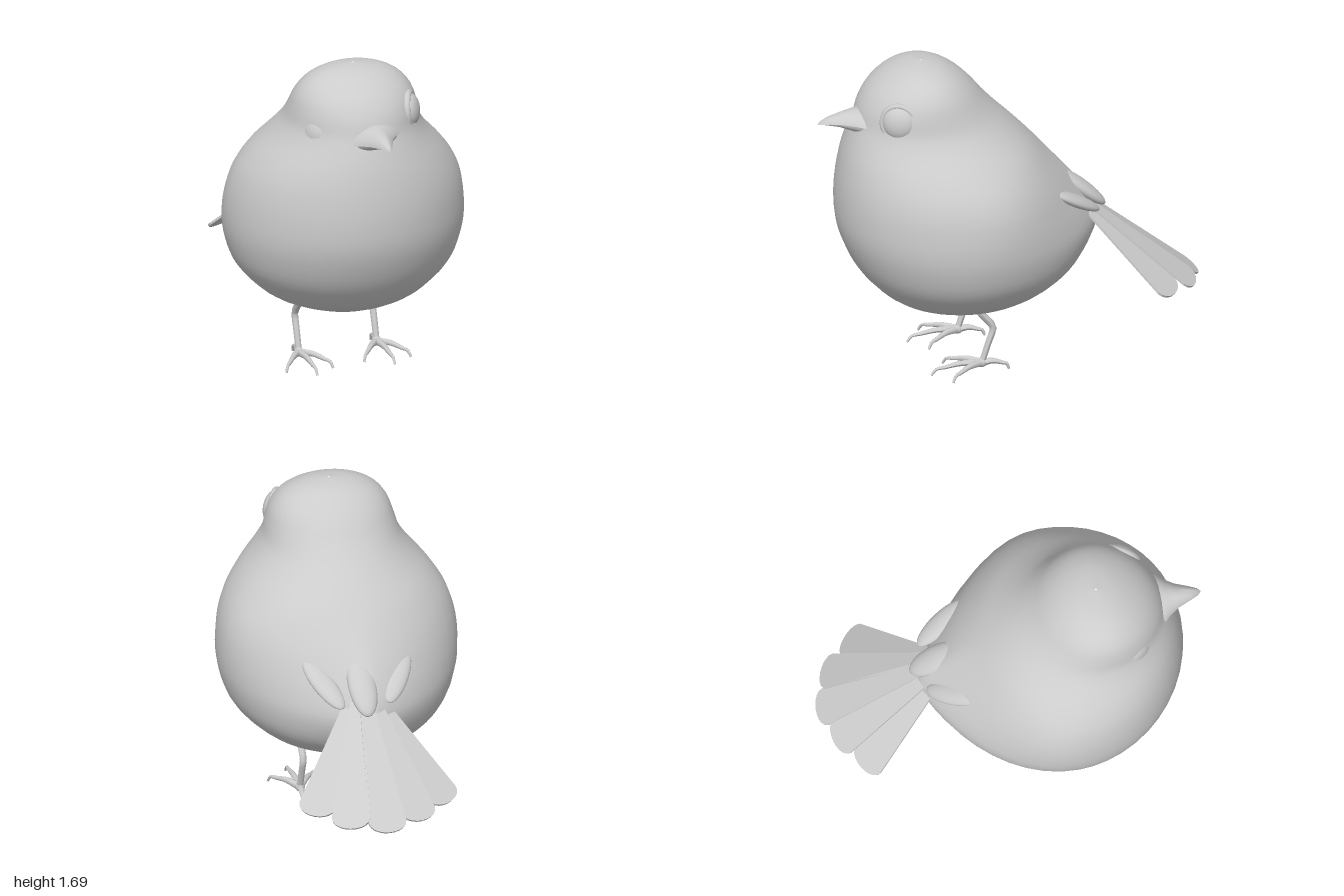
import * as THREE from 'three';
import { toCreasedNormals } from 'three/addons/utils/BufferGeometryUtils.js';

const V = (x, y, z) => new THREE.Vector3(x, y, z);
const mat = new THREE.MeshStandardMaterial({ color: 0xcccccc, roughness: 0.8 });

function add(parent, name, geometry) {
  const mesh = new THREE.Mesh(geometry, mat);
  mesh.name = name;
  parent.add(mesh);
  return mesh;
}

// Skin over closed rings of points
function loft(rings) {
  const n = rings[0].length, index = [];
  for (let r = 0; r < rings.length - 1; r++) {
    for (let i = 0; i < n; i++) {
      const a = r * n + i, b = r * n + (i + 1) % n;
      index.push(a, a + n, b, b, a + n, b + n);
    }
  }
  const g = new THREE.BufferGeometry().setFromPoints(rings.flat());
  g.setIndex(index);
  g.computeVertexNormals();
  return g;
}

// Tube whose radius goes from r0 to r1
function taperedTube(points, r0, r1, tension = 0.5) {
  const path = new THREE.CatmullRomCurve3(points, false, 'catmullrom', tension);
  const steps = 14, sides = 8;
  const g = new THREE.TubeGeometry(path, steps, r0, sides);
  const p = g.attributes.position, v = V(0, 0, 0);
  for (let i = 0; i < p.count; i++) {
    const t = Math.floor(i / (sides + 1)) / steps;
    const c = path.getPointAt(t);
    v.fromBufferAttribute(p, i).sub(c).multiplyScalar(1 + (r1 / r0 - 1) * t).add(c);
    p.setXYZ(i, v.x, v.y, v.z);
  }
  g.computeVertexNormals();
  return g;
}

// Body and head: [height, half width, front z, back z, widest z, back pointedness]
function bodyGeometry() {
  const keys = [
    [0.308, 0.004, 0.25, 0.24, 0.245, 0.5],
    [0.325, 0.17, 0.43, 0.06, 0.245, 0.5],
    [0.40, 0.375, 0.62, -0.16, 0.25, 0.5],
    [0.50, 0.50, 0.735, -0.32, 0.25, 0.55],
    [0.60, 0.575, 0.81, -0.42, 0.25, 0.65],
    [0.72, 0.615, 0.865, -0.49, 0.25, 0.8],
    [0.82, 0.628, 0.892, -0.47, 0.25, 0.85],
    [0.92, 0.625, 0.90, -0.40, 0.25, 0.8],
    [1.02, 0.608, 0.897, -0.315, 0.26, 0.7],
    [1.12, 0.57, 0.885, -0.225, 0.28, 0.6],
    [1.22, 0.50, 0.865, -0.135, 0.32, 0.5],
    [1.32, 0.41, 0.835, -0.04, 0.37, 0.5],
    [1.40, 0.356, 0.805, 0.04, 0.41, 0.5],
    [1.48, 0.333, 0.78, 0.115, 0.44, 0.5],
    [1.56, 0.305, 0.73, 0.18, 0.45, 0.5],
    [1.63, 0.245, 0.65, 0.255, 0.45, 0.5],
    [1.68, 0.14, 0.55, 0.345, 0.45, 0.5],
    [1.698, 0.004, 0.455, 0.445, 0.45, 0.5],
  ];
  const a = new THREE.CatmullRomCurve3(keys.map(k => V(k[0], k[1], k[2])), false, 'catmullrom');
  const b = new THREE.CatmullRomCurve3(keys.map(k => V(k[3], k[4], k[5])), false, 'catmullrom');
  const rings = [], steps = 51, sides = 48;
  for (let s = 0; s <= steps; s++) {
    const { x: y, y: w, z: front } = a.getPoint(s / steps);
    const { x: back, y: mid, z: q } = b.getPoint(s / steps);
    const shift = -0.015 * THREE.MathUtils.smoothstep(y, 1.0, 1.4);
    rings.push(Array.from({ length: sides }, (_, i) => {
      const t = i / sides * Math.PI * 2, c = Math.cos(t), sn = Math.sin(t);
      const wide = Math.sign(c) * Math.pow(Math.abs(c), sn < 0 ? 2 * q : 1);
      return V(shift + w * wide, y, mid + sn * (sn > 0 ? front - mid : mid - back));
    }));
  }
  return loft(rings);
}

// Half of the beak; up = 1 for the upper part, -1 for the lower. Stations: [z, half width, height, y]
function beakHalf(stations, up) {
  const rings = stations.map(([z, w, h, y]) => Array.from({ length: 24 }, (_, i) => {
    const t = -i / 24 * Math.PI * 2;
    const rise = Math.max(up * Math.sin(t), 0);
    return V(w * Math.cos(t), y + up * h * Math.pow(rise, up > 0 ? 1.6 : 1), z);
  }));
  return toCreasedNormals(loft(rings), 0.9);
}

function featherGeometry(length) {
  const s = new THREE.Shape();
  s.moveTo(-0.03, 0);
  s.lineTo(-0.1, length - 0.06);
  s.bezierCurveTo(-0.09, length + 0.02, 0.09, length + 0.02, 0.1, length - 0.06);
  s.lineTo(0.03, 0);
  return new THREE.ExtrudeGeometry(s, { depth: 0.012, bevelEnabled: false, curveSegments: 10 });
}

// Flattened ellipsoid lying between two points
function covert(parent, name, from, to, width, thick) {
  const m = add(parent, name, new THREE.SphereGeometry(1, 20, 14));
  const dir = to.clone().sub(from);
  m.scale.set(width, dir.length() / 2, thick);
  m.position.copy(from).lerp(to, 0.5);
  dir.normalize();
  const side = V(1, 0, 0).addScaledVector(dir, -dir.x).normalize();
  m.quaternion.setFromRotationMatrix(new THREE.Matrix4().makeBasis(side, dir, side.clone().cross(dir)));
}

export function createModel() {
  const bird = new THREE.Group();
  bird.name = 'bird';
  add(bird, 'body', bodyGeometry());

  // Eyes with a soft lid; the head is cocked so the left one sits higher
  for (const [name, pos, out] of [
    ['leftEye', V(0.232, 1.465, 0.63), V(0.86, 0.12, 0.5)],
    ['rightEye', V(-0.272, 1.387, 0.61), V(-0.86, 0.1, 0.5)],
  ]) {
    const eye = new THREE.Group();
    eye.name = name;
    eye.position.copy(pos);
    eye.lookAt(pos.clone().add(out));
    add(eye, 'eyeball', new THREE.SphereGeometry(0.088, 28, 20)).scale.z = 0.58;
    add(eye, 'eyelid', new THREE.TorusGeometry(0.09, 0.015, 10, 32)).scale.z = 1.3;
    bird.add(eye);
  }

  // Beak
  const beak = new THREE.Group();
  beak.name = 'beak';
  beak.position.set(-0.018, 1.39, 0);
  beak.rotation.z = 0.15;
  add(beak, 'upperBeak', beakHalf([
    [0.70, 0.16, 0.09, -0.012], [0.78, 0.138, 0.082, -0.01], [0.82, 0.1, 0.07, -0.005],
    [0.87, 0.066, 0.055, 0], [0.94, 0.038, 0.035, 0.003], [0.985, 0.018, 0.016, 0], [1.0, 0.001, 0.001, 0],
  ], 1));
  add(beak, 'lowerBeak', beakHalf([
    [0.70, 0.15, 0.055, -0.014], [0.78, 0.125, 0.052, -0.012], [0.83, 0.085, 0.038, -0.007],
    [0.89, 0.05, 0.02, -0.001], [0.95, 0.028, 0.01, 0.002], [0.985, 0.001, 0.001, 0],
  ], -1));
  bird.add(beak);

  // Tail: arched fan of five feathers
  const tail = new THREE.Group();
  tail.name = 'tail';
  const tips = [V(-0.28, 0.405, -0.83), V(-0.11, 0.385, -0.94), V(0.08, 0.372, -0.995),
    V(0.27, 0.39, -0.935), V(0.42, 0.41, -0.785)];
  tips.forEach((tip, i) => {
    const k = i - 2;
    const base = V(0.04 + k * 0.042, 0.855 - 0.012 * k * k, -0.4);
    const dir = tip.clone().sub(base);
    const feather = add(tail, 'tailFeather', featherGeometry(dir.length()));
    dir.normalize();
    const side = tips[Math.min(i + 1, 4)].clone().sub(tips[Math.max(i - 1, 0)]);
    side.addScaledVector(dir, -side.dot(dir)).normalize();
    feather.quaternion.setFromRotationMatrix(new THREE.Matrix4().makeBasis(side, dir, side.clone().cross(dir)));
    feather.position.copy(base);
  });
  bird.add(tail);

  // Rump feathers and folded wing tips over the tail root
  covert(bird, 'rumpFeathers', V(0.045, 1.03, -0.24), V(0.05, 0.8, -0.515), 0.075, 0.04);
  covert(bird, 'rightWingTip', V(-0.24, 1.0, -0.2), V(-0.075, 0.83, -0.45), 0.06, 0.03);
  covert(bird, 'leftWingTip', V(0.3, 1.0, -0.18), V(0.17, 0.83, -0.45), 0.06, 0.03);

  // Legs with three front toes and one back toe
  for (const side of [1, -1]) {
    const leg = new THREE.Group();
    leg.name = side > 0 ? 'leftLeg' : 'rightLeg';
    leg.position.set(side * 0.217, 0, side > 0 ? 0 : 0.015);
    add(leg, 'shank', taperedTube(
      [V(0, 0.4, 0.23), V(0, 0.33, 0.19), V(0, 0.245, 0.125), V(0, 0.16, 0.15), V(0, 0.05, 0.185)], 0.02, 0.017, 0.3));
    const ankle = add(leg, 'ankle', new THREE.SphereGeometry(0.026, 12, 8));
    ankle.position.set(0, 0.052, 0.185);
    for (const [x, z] of [[-0.135, 0.36], [0, 0.455], [0.12, 0.37], [0.02, 0.045]]) {
      const at = (t, y) => V(x * t, y, 0.185 + (z - 0.185) * t);
      add(leg, 'toe', taperedTube([at(0, 0.05), at(0.4, 0.058), at(0.75, 0.045), at(0.9, 0.04), at(1, 0.008)], 0.021, 0.006));
    }
    bird.add(leg);
  }
  return bird;
}
